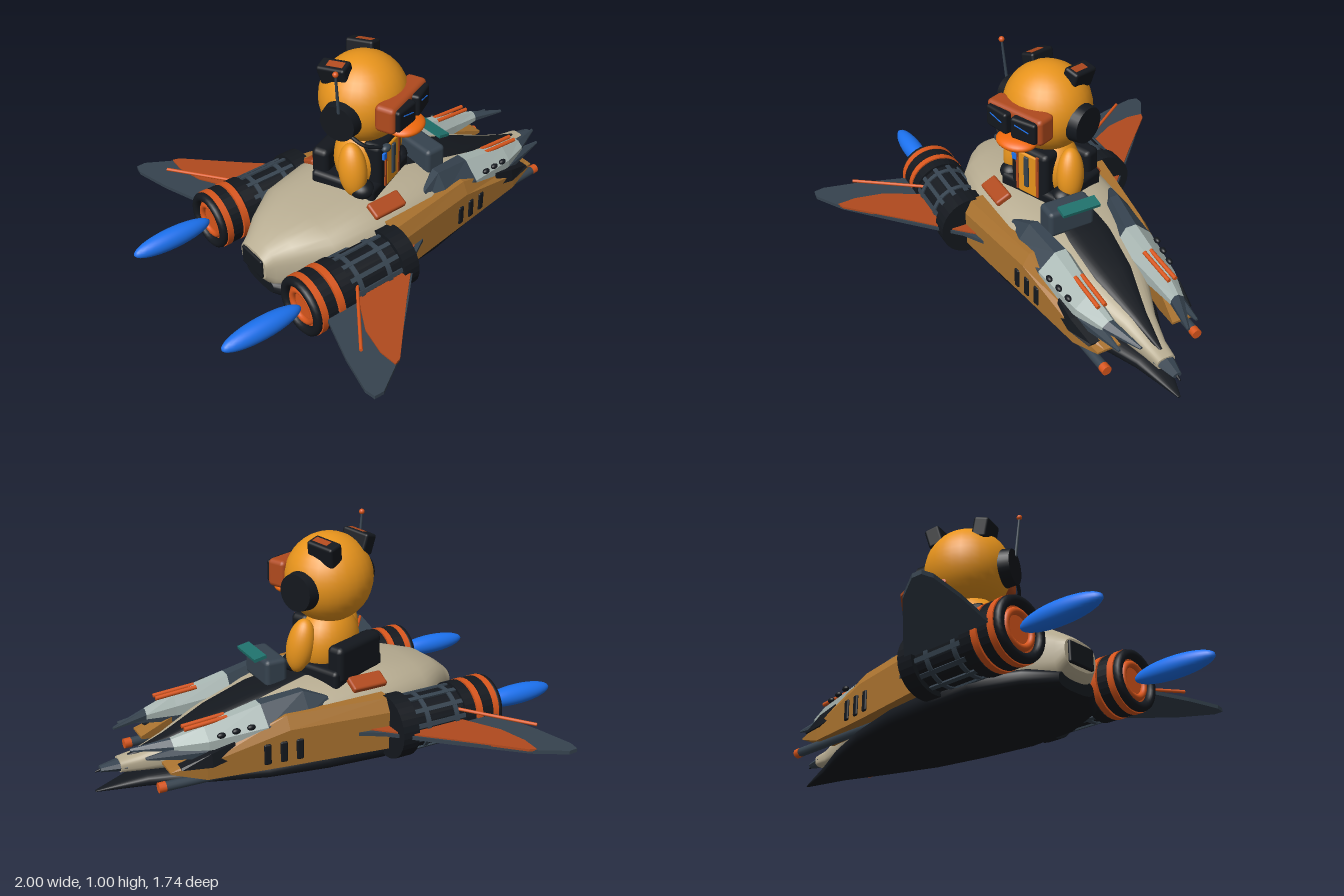
import * as THREE from 'three';
import { RoundedBoxGeometry } from 'three/addons/geometries/RoundedBoxGeometry.js';

const mat = (color, flatShading = false) =>
  new THREE.MeshStandardMaterial({ color, flatShading, side: THREE.DoubleSide });
const COLORS = {
  cream: 0xb8ad92, black: 0x14181e, slate: 0x36434f, pale: 0xa9b7b3, brown: 0xa9722f, orange: 0xd9561c,
  rust: 0xb04a1e, yellow: 0xe8941c, beak: 0xf0690c, teal: 0x1f716c, blue: 0x1c72f0,
};
const SMOOTH = {}, FLAT = {};
for (const k in COLORS) { SMOOTH[k] = mat(COLORS[k]); FLAT[k] = mat(COLORS[k], true); }

function add(parent, name, geo, material, pos = [0, 0, 0], rot = [0, 0, 0], scale = [1, 1, 1]) {
  const m = new THREE.Mesh(geo, material);
  m.name = name;
  m.position.set(...pos);
  m.rotation.set(...rot);
  m.scale.set(...scale);
  parent.add(m);
  return m;
}
const box = (w, h, d, r = 0) => r ? new RoundedBoxGeometry(w, h, d, 2, r) : new THREE.BoxGeometry(w, h, d);
const ball = new THREE.SphereGeometry(1, 28, 20);

// Straight rod between two points
function rod(parent, name, a, b, r, material, r2 = r) {
  const A = new THREE.Vector3(...a), B = new THREE.Vector3(...b);
  const m = add(parent, name, new THREE.CylinderGeometry(r2, r, A.distanceTo(B), 12), material);
  m.position.copy(A).add(B).multiplyScalar(0.5);
  m.quaternion.setFromUnitVectors(new THREE.Vector3(0, 1, 0), B.sub(A).normalize());
}

// Skin through closed [y, z] rings placed along x, with end caps
function loft(rings) {
  const n = rings[0].pts.length, pos = [], idx = [];
  const area = rings[0].pts.reduce((s, p, i, l) => {
    const q = l[(i + 1) % n];
    return s + p[0] * q[1] - q[0] * p[1];
  }, 0);
  const ordered = rings.map(r => ({ x: r.x, pts: area < 0 ? [...r.pts].reverse() : r.pts }));
  for (const r of ordered) for (const p of r.pts) pos.push(r.x, p[0], p[1]);
  for (let k = 0; k < rings.length - 1; k++) for (let i = 0; i < n; i++) {
    const a = k * n + i, b = k * n + (i + 1) % n;
    idx.push(a, b, a + n, b, b + n, a + n);
  }
  for (const k of [0, rings.length - 1]) {
    const base = pos.length / 3, r = ordered[k];
    for (const p of r.pts) pos.push(r.x, p[0], p[1]);
    for (let i = 1; i < n - 1; i++) k ? idx.push(base, base + i, base + i + 1) : idx.push(base, base + i + 1, base + i);
  }
  const g = new THREE.BufferGeometry();
  g.setAttribute('position', new THREE.Float32BufferAttribute(pos, 3));
  g.setIndex(idx);
  g.computeVertexNormals();
  return g;
}
// Rounded-box sections from [x, halfWidth, bottom, top]
const hullLoft = (rows, e) => loft(rows.map(([x, w, b, t]) => ({
  x, pts: Array.from({ length: 32 }, (_, i) => {
    const a = i / 32 * Math.PI * 2, f = v => Math.sign(v) * Math.abs(v) ** e;
    return [(b + t) / 2 + f(Math.sin(a)) * (t - b) / 2, f(Math.cos(a)) * w];
  }),
})));
// Chamfered sections from [x, zInner, zOuter, bottom, top]
const podLoft = (rows, s) => loft(rows.map(([x, zi, zo, b, t]) => {
  const w = zo - zi, h = t - b;
  return { x, pts: [[b, zi], [b, zo], [b + h * 0.45, zo], [t, zo - w * 0.45], [t, zi + w * 0.25], [b + h * 0.5, zi]].map(p => [p[0], p[1] * s]) };
}));
function plate(points, depth) {
  const g = new THREE.ExtrudeGeometry(new THREE.Shape(points.map(p => new THREE.Vector2(...p))), { depth, bevelEnabled: false });
  return g.rotateX(Math.PI / 2);
}

function buildHull(g) {
  add(g, 'upperHull', hullLoft([[-0.635, 0.09, 0.13, 0.25], [-0.6, 0.11, 0.08, 0.28], [-0.53, 0.17, 0.05, 0.325], [-0.4, 0.26, 0.05, 0.355],
    [-0.2, 0.3, 0.05, 0.38], [0.1, 0.29, 0.05, 0.375], [0.3, 0.24, 0.06, 0.335], [0.5, 0.165, 0.07, 0.275], [0.7, 0.08, 0.08, 0.205],
    [0.82, 0.05, 0.09, 0.165], [0.9, 0.04, 0.1, 0.155]], 0.7), SMOOTH.cream);
  add(g, 'belly', hullLoft([[-0.61, 0.1, 0.05, 0.12], [-0.53, 0.22, 0.02, 0.13], [-0.35, 0.31, 0.007, 0.14], [-0.15, 0.32, 0, 0.14], [0.1, 0.3, 0.008, 0.13],
    [0.35, 0.25, 0.014, 0.11], [0.6, 0.16, 0.02, 0.1], [0.8, 0.07, 0.025, 0.08], [1, 0.006, 0.03, 0.036]], 0.7), SMOOTH.black);
  add(g, 'deckStrip', hullLoft([[0.08, 0.13, 0.2, 0.381], [0.3, 0.12, 0.2, 0.343], [0.5, 0.095, 0.17, 0.285], [0.7, 0.04, 0.13, 0.212], [0.86, 0.008, 0.12, 0.163]], 0.6), SMOOTH.black);
  add(g, 'noseCap', new THREE.CylinderGeometry(0.02, 0.045, 0.1, 8), FLAT.slate, [0.925, 0.126, 0], [0, 0, -Math.PI / 2], [0.6, 1, 1]);
  rod(g, 'noseProbe', [0.96, 0.125, 0], [0.995, 0.118, 0], 0.008, FLAT.black, 0.003);
  add(g, 'rearGrille', box(0.02, 0.09, 0.14, 0.008), SMOOTH.black, [-0.636, 0.19, 0]);
  add(g, 'console', box(0.1, 0.12, 0.21, 0.02), SMOOTH.slate, [0.215, 0.395, 0.055]);
  add(g, 'consoleScreen', box(0.055, 0.014, 0.17), SMOOTH.teal, [0.287, 0.474, 0.04], [0, 0, -0.2]);
}

function buildSide(g, s) {
  const P = (x, y, z) => [x, y, z * s];
  // Side armour with vents
  add(g, 'sidePanel', loft([[-0.16, 0.36, 0.1, 0.32], [0.28, 0.295, 0.1, 0.312], [0.62, 0.25, 0.105, 0.2], [0.76, 0.22, 0.15, 0.16]]
    .map(([x, z, b, t]) => ({ x, pts: [[b, z], [b + (t - b) * 0.75, z], [t, z - 0.03], [t, z - 0.1], [b, z - 0.1]].map(p => [p[0], p[1] * s]) }))), FLAT.brown);
  for (const [x, z] of [[0.24, 0.3], [0.307, 0.291], [0.375, 0.282]])
    add(g, 'sideVent', box(0.03, 0.09, 0.016, 0.007), SMOOTH.black, P(x, 0.17, z), [0, 0.14 * s, 0]);
  add(g, 'sideWedge', loft([[0.5, 0.26, 0.18, 0.24], [0.6, 0.262, 0.16, 0.215], [0.72, 0.238, 0.165, 0.172]]
    .map(([x, z, b, t]) => ({ x, pts: [[b, z], [t, z - 0.01], [t, z - 0.05], [b, z - 0.05]].map(p => [p[0], p[1] * s]) }))), FLAT.black);
  // Shoulder pod in three colours, with a lower spike
  const rows = [[0.08, 0.21, 0.262, 0.25, 0.34], [0.18, 0.14, 0.27, 0.24, 0.375], [0.36, 0.1, 0.265, 0.22, 0.348], [0.6, 0.12, 0.23, 0.22, 0.302], [0.73, 0.125, 0.185, 0.23, 0.268], [0.88, 0.1, 0.112, 0.23, 0.24]];
  add(g, 'podRear', podLoft(rows.slice(0, 3), s), FLAT.slate);
  add(g, 'podMiddle', podLoft(rows.slice(2, 5), s), FLAT.pale);
  add(g, 'podTip', podLoft(rows.slice(4), s), FLAT.slate);
  add(g, 'podSpike', podLoft([[0.3, 0.14, 0.275, 0.2, 0.29], [0.6, 0.15, 0.225, 0.18, 0.25], [0.84, 0.17, 0.18, 0.215, 0.225]], s), FLAT.slate);
  for (const [x, y, z] of [[0.43, 0.29, 0.253], [0.49, 0.283, 0.243], [0.55, 0.275, 0.234]])
    add(g, 'podPort', ball, SMOOTH.black, P(x, y, z), [0, 0, 0], [0.018, 0.012, 0.012]);
  for (const z of [0.145, 0.175]) rod(g, 'podGun', P(0.5, 0.318, z), P(0.68, 0.306, z), 0.009, SMOOTH.orange);
  // Lower cannon
  rod(g, 'cannon', P(0.26, 0.095, 0.225), P(0.79, 0.1, 0.208), 0.02, SMOOTH.slate);
  rod(g, 'cannonTip', P(0.78, 0.1, 0.208), P(0.81, 0.1, 0.207), 0.021, SMOOTH.orange);
  add(g, 'cockpitTrim', box(0.16, 0.03, 0.075, 0.01), SMOOTH.rust, P(-0.115, 0.356, 0.22), [0.45 * s, 0, 0]);
  // Wing, painted on its upper side
  const wing = [[0.02, 0.32], [-0.1, 0.39], [-0.3, 0.58], [-0.53, 0.79], [-0.66, 0.868], [-0.7, 0.865], [-0.708, 0.82], [-0.67, 0.66], [-0.6, 0.45], [-0.4, 0.3]];
  const paint = [[-0.06, 0.34], [-0.12, 0.4], [-0.31, 0.58], [-0.52, 0.79], [-0.55, 0.8], [-0.556, 0.72], [-0.53, 0.6], [-0.44, 0.44], [-0.35, 0.34]];
  add(g, 'wing', plate(wing.map(p => [p[0], p[1] * s]), 0.016), FLAT.slate, [0, 0.198, 0]);
  add(g, 'wingPaint', plate(paint.map(p => [p[0], p[1] * s]), 0.01), FLAT.rust, [0, 0.204, 0]);
  rod(g, 'wingRod', P(-0.63, 0.246, 0.7), P(-0.42, 0.246, 0.41), 0.007, SMOOTH.orange);
}

function buildEngine(g, s) {
  const e = new THREE.Group();
  e.name = 'engine';
  e.position.set(0, 0.19, 0.335 * s);
  g.add(e);
  const drum = (name, x0, x1, r, m) => add(e, name, new THREE.CylinderGeometry(r, r, x1 - x0, 32), m, [(x0 + x1) / 2, 0, 0], [0, 0, Math.PI / 2]);
  drum('barrel', -0.62, -0.16, 0.115, FLAT.black);
  drum('frontCollar', -0.22, -0.145, 0.135, FLAT.black);
  drum('rearCollar', -0.51, -0.46, 0.128, FLAT.black);
  drum('middleCollar', -0.6, -0.55, 0.128, FLAT.black);
  for (const x of [-0.612, -0.53]) drum('orangeBand', x - 0.014, x + 0.014, 0.13, SMOOTH.orange);
  for (const x of [-0.42, -0.28]) drum('slateBand', x - 0.01, x + 0.01, 0.121, SMOOTH.slate);
  for (let i = 0; i < 12; i++) {
    const a = (i + 0.5) / 12 * Math.PI * 2;
    add(e, 'rib', box(0.24, 0.012, 0.018), FLAT.slate, [-0.34, Math.cos(a) * 0.116, Math.sin(a) * 0.116], [a, 0, 0]);
  }
  const torus = (r, t, x, m) => add(e, 'nozzleRing', new THREE.TorusGeometry(r, t, 10, 32), m, [x, 0, 0], [0, Math.PI / 2, 0]);
  torus(0.108, 0.02, -0.635, SMOOTH.black);
  torus(0.068, 0.014, -0.63, SMOOTH.orange);
  add(e, 'flame', ball, SMOOTH.blue, [-0.82, 0, 0], [0, 0, 0], [0.18, 0.045, 0.045]);
}

function buildPilot(g) {
  const p = new THREE.Group();
  p.name = 'pilot';
  p.position.set(-0.055, 0, 0);
  p.rotation.y = 0.38;
  g.add(p);
  const q = (name, geo, color, pos, rot, scale) => add(p, name, geo, SMOOTH[color], pos, rot, scale);
  // Seat and body
  q('seatBase', box(0.32, 0.09, 0.3, 0.02), 'black', [0, 0.375, -0.02]);
  q('seatBack', box(0.28, 0.16, 0.08, 0.025), 'black', [0, 0.44, -0.14]);
  q('body', ball, 'yellow', [0, 0.48, 0], [0, 0, 0], [0.15, 0.16, 0.12]);
  q('vest', box(0.2, 0.23, 0.09, 0.025), 'black', [0, 0.485, 0.085]);
  q('vestFront', box(0.1, 0.2, 0.02, 0.008), 'yellow', [0, 0.48, 0.127]);
  q('zip', box(0.024, 0.15, 0.012, 0.005), 'slate', [0, 0.495, 0.14]);
  q('badge', box(0.024, 0.03, 0.02), 'blue', [-0.068, 0.545, 0.13]);
  for (const s of [-1, 1]) {
    q('vestEdge', box(0.012, 0.2, 0.014), 'rust', [s * 0.055, 0.485, 0.13]);
    q('arm', ball, 'yellow', [s * 0.148, 0.49, 0.03], [-0.15, 0, s * 0.12], [0.055, 0.12, 0.062]);
    q('glove', ball, 'black', [s * 0.145, 0.405, 0.07], [0, 0, 0], [0.05, 0.04, 0.055]);
    // Headphones and ears
    q('earCup', new THREE.CylinderGeometry(0.078, 0.085, 0.05, 28), 'black', [s * 0.19, 0.745, 0], [0, 0, -s * Math.PI / 2]);
    q('ear', box(0.07, 0.09, 0.13, 0.012), 'black', [s * 0.107, 0.905, -0.065], [-0.12, 0, -s * 0.25]);
    q('earInset', box(0.032, 0.04, 0.075), 'rust', [s * 0.112, 0.932, -0.056], [-0.12, 0, -s * 0.25]);
    q('lens', box(0.12, 0.095, 0.06, 0.012), 'black', [s * 0.068, 0.772, 0.21], [0, s * 0.12, 0]);
    q('lensGlint', box(0.07, 0.004, 0.004), 'blue', [s * 0.068, 0.785, 0.241], [0, s * 0.12, -0.25]);
  }
  q('head', ball, 'yellow', [0, 0.763, 0], [0, 0, 0], [0.19, 0.19, 0.185]);
  q('goggleFrame', box(0.29, 0.12, 0.09, 0.02), 'rust', [0, 0.772, 0.17]);
  q('upperBeak', ball, 'beak', [0, 0.684, 0.195], [0, 0, 0], [0.092, 0.03, 0.075]);
  q('lowerBeak', ball, 'rust', [0, 0.662, 0.18], [0, 0, 0], [0.065, 0.02, 0.06]);
  // Microphone and antenna
  const boom = new THREE.CatmullRomCurve3([[-0.205, 0.71, 0.04], [-0.19, 0.665, 0.11], [-0.125, 0.635, 0.165]].map(v => new THREE.Vector3(...v)));
  q('micBoom', new THREE.TubeGeometry(boom, 12, 0.008, 8), 'black');
  q('microphone', ball, 'slate', [-0.12, 0.632, 0.17], [0, 0, 0], [0.025, 0.016, 0.018]);
  rod(p, 'antenna', [-0.215, 0.8, 0.01], [-0.236, 0.985, 0.013], 0.007, SMOOTH.slate, 0.005);
  q('antennaTip', ball, 'orange', [-0.236, 0.988, 0.013], [0, 0, 0], [0.012, 0.012, 0.012]);
}

export function createModel() {
  const g = new THREE.Group();
  g.name = 'pilotedSpacecraft';
  buildHull(g);
  for (const s of [-1, 1]) {
    buildSide(g, s);
    buildEngine(g, s);
  }
  buildPilot(g);
  return g;
}
